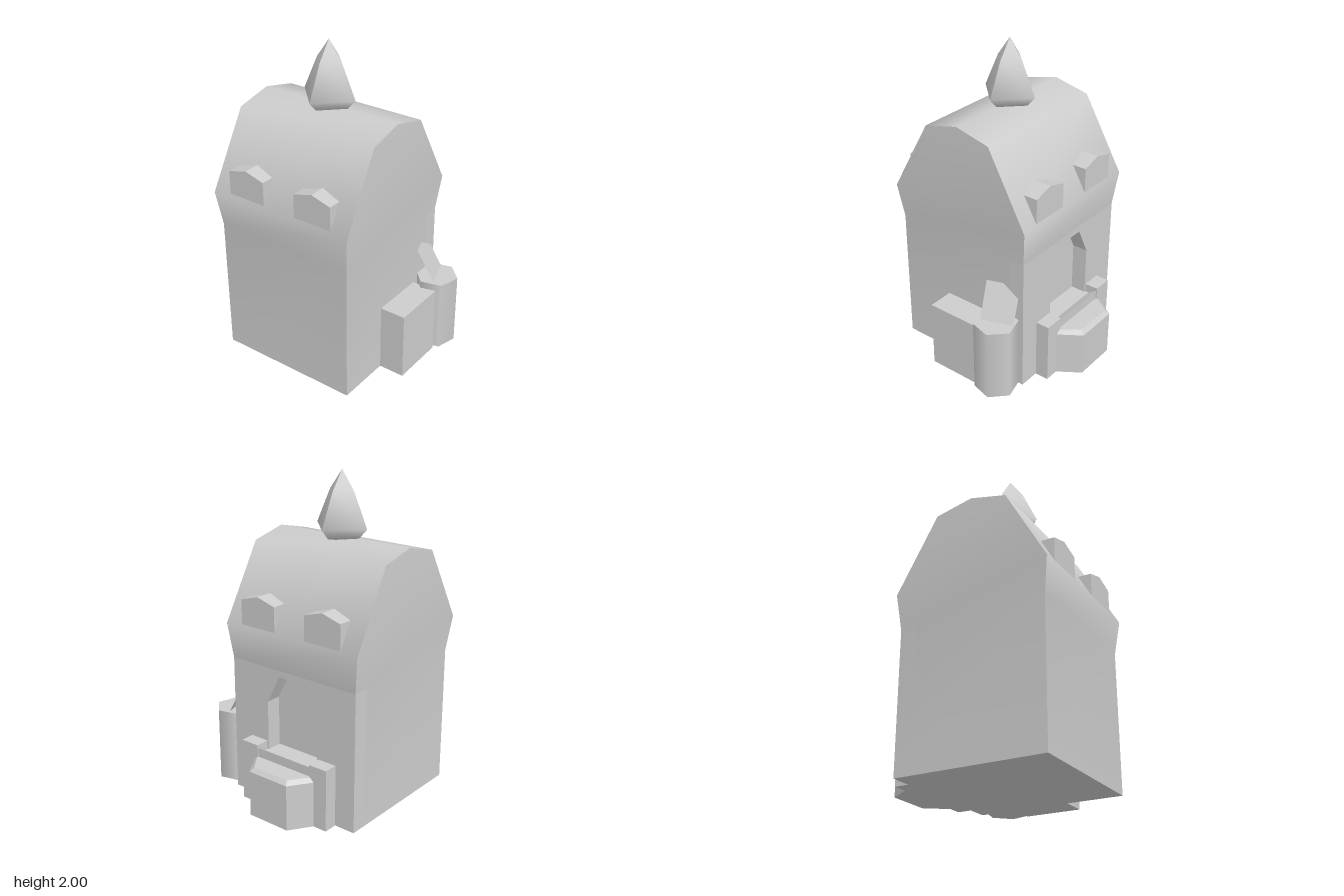
import * as THREE from 'three';
import { toCreasedNormals } from 'three/addons/utils/BufferGeometryUtils.js';

const CX = -0.107; // centre line of the house in x
const CZ = 0.1;    // ridge line in z

export function createModel() {
  const group = new THREE.Group();
  const stone = new THREE.MeshStandardMaterial({ color: 0xcccccc, side: THREE.DoubleSide });
  stone.name = 'paleGrey';

  const add = (name, geometry, x = 0, y = 0, z = 0) => {
    const mesh = new THREE.Mesh(geometry, stone);
    mesh.name = name;
    mesh.position.set(x, y, z);
    group.add(mesh);
    return mesh;
  };
  const box = (name, x0, x1, y0, y1, z0, z1) =>
    add(name, new THREE.BoxGeometry(x1 - x0, y1 - y0, z1 - z0), (x0 + x1) / 2, (y0 + y1) / 2, (z0 + z1) / 2);
  const shapeOf = (pts) => new THREE.Shape(pts.map(([x, y]) => new THREE.Vector2(x, y)));
  const fromQuads = (quads) => {
    const pos = quads.flatMap(([a, b, c, d]) => [a, b, c, a, c, d].flat());
    const g = new THREE.BufferGeometry();
    g.setAttribute('position', new THREE.Float32BufferAttribute(pos, 3));
    g.computeVertexNormals();
    return g;
  };

  // House shell: z, y, half width, going up the front, over the roof and down the back
  const profile = [
    [0.56, 0, 0.462], [0.56, 0.87, 0.462], [0.59, 1.09, 0.488], [0.33, 1.553, 0.48], [CZ, 1.607, 0.478],
    [-0.13, 1.553, 0.48], [-0.39, 1.09, 0.488], [-0.365, 0.87, 0.462], [-0.365, 0, 0.462],
  ];
  const L = profile.map(([z, y, w]) => [CX - w, y, z]);
  const R = profile.map(([z, y, w]) => [CX + w, y, z]);
  const quads = [[L[0], L[8], R[8], R[0]]];
  for (let i = 0; i < 7; i++) quads.push([L[i], R[i], R[i + 1], L[i + 1]]);
  for (let i = 0; i < 4; i++) {
    const j = 8 - i;
    quads.push([R[i], R[j], R[j - 1], R[i + 1]], [L[j], L[i], L[i + 1], L[j - 1]]);
  }
  add('houseShell', toCreasedNormals(fromQuads(quads), 1.0));

  // Back wall with an arched doorway and a recessed panel
  const arch = [[-0.19, 0.32], [0.19, 0.32], [0.19, 0.65], [0.1, 0.83], [-0.1, 0.83], [-0.19, 0.65]];
  const wall = shapeOf([[-0.462, 0], [0.462, 0], [0.462, 0.87], [-0.462, 0.87]]);
  wall.holes.push(new THREE.Path(arch.map(([x, y]) => new THREE.Vector2(x, y))));
  add('backWall', new THREE.ExtrudeGeometry(wall, { depth: 0.1, bevelEnabled: false }), CX, 0, -0.365);
  add('doorPanel', new THREE.ShapeGeometry(shapeOf(arch)), CX, 0, -0.266).rotation.y = Math.PI;

  // Dormer windows, front and back
  const dormer = shapeOf([[-0.128, 1.105], [0.128, 1.105], [0.128, 1.26], [0, 1.296], [-0.128, 1.26]]);
  for (const x of [CX - 0.24, CX + 0.24]) {
    for (const [name, z] of [['frontDormer', 0.397], ['backDormer', -0.384]]) {
      add(name, new THREE.ExtrudeGeometry(dormer, { depth: 0.18, bevelEnabled: false }), x, 0, z);
    }
  }

  // Four-sided spire on the ridge
  const spire = [[0, 1.58], [0.13, 1.61], [0.185, 1.67], [0.088, 1.88], [0, 2]]
    .map(([r, y]) => new THREE.Vector2(r, y));
  add('spire', toCreasedNormals(new THREE.LatheGeometry(spire, 4), 0.9), CX, 0, 0.095);

  // Doorway posts
  for (const s of [-1, 1]) {
    const x = CX + s * 0.263;
    box('doorPost', x - 0.063, x + 0.063, 0, 0.39, -0.453, -0.34);
  }

  // Sill between the posts, sloping down towards the doorway
  const sill = shapeOf([[0.445, 0], [0.445, 0.37], [0.39, 0.335], [0.26, 0.335], [0.26, 0]]);
  const sillGeometry = new THREE.ExtrudeGeometry(sill, { depth: 0.405, bevelEnabled: false });
  sillGeometry.rotateY(Math.PI / 2); // shape x becomes -z
  add('doorSill', sillGeometry, CX - 0.2025, 0, 0);

  // Tapered step with a chamfered top, built from three outlines
  const ring = (y, inset) => [
    [CX - 0.243 + inset, y, -0.44], [CX + 0.243 - inset, y, -0.44],
    [CX + 0.143 - inset * 0.6, y, -0.588 + inset], [CX - 0.143 + inset * 0.6, y, -0.588 + inset],
  ];
  const rings = [ring(0, 0), ring(0.288, 0), ring(0.312, 0.025)];
  const stepQuads = [rings[0].slice().reverse(), rings[2].slice().reverse()];
  stepQuads[0].reverse();
  for (let k = 0; k < 2; k++) {
    for (let i = 0; i < 4; i++) {
      const j = (i + 1) % 4;
      stepQuads.push([rings[k][j], rings[k][i], rings[k + 1][i], rings[k + 1][j]]);
    }
  }
  // Orient every face outwards from the middle of the step
  const middle = new THREE.Vector3(CX, 0.15, -0.5);
  for (const q of stepQuads) {
    const [a, b, c] = q.map((p) => new THREE.Vector3(...p));
    const n = b.clone().sub(a).cross(c.clone().sub(a));
    if (n.dot(a.clone().sub(middle)) < 0) q.reverse();
  }
  add('step', toCreasedNormals(fromQuads(stepQuads), 0.6));

  // Crate and six-sided barrel against the side wall
  box('crate', 0.3, 0.52, 0, 0.435, -0.14, 0.213);
  const barrel = new THREE.CylinderGeometry(0.135, 0.135, 0.465, 6);
  add('barrel', barrel, 0.46, 0.2475, -0.245).rotation.y = THREE.MathUtils.degToRad(45);

  // Thin board leaning from the barrel to the wall
  add('leaningBoard', fromQuads([[
    [0.43, 0.475, -0.35], [0.32, 0.69, -0.32], [0.39, 0.69, -0.12], [0.497, 0.475, -0.155],
  ]]));

  return group;
}
